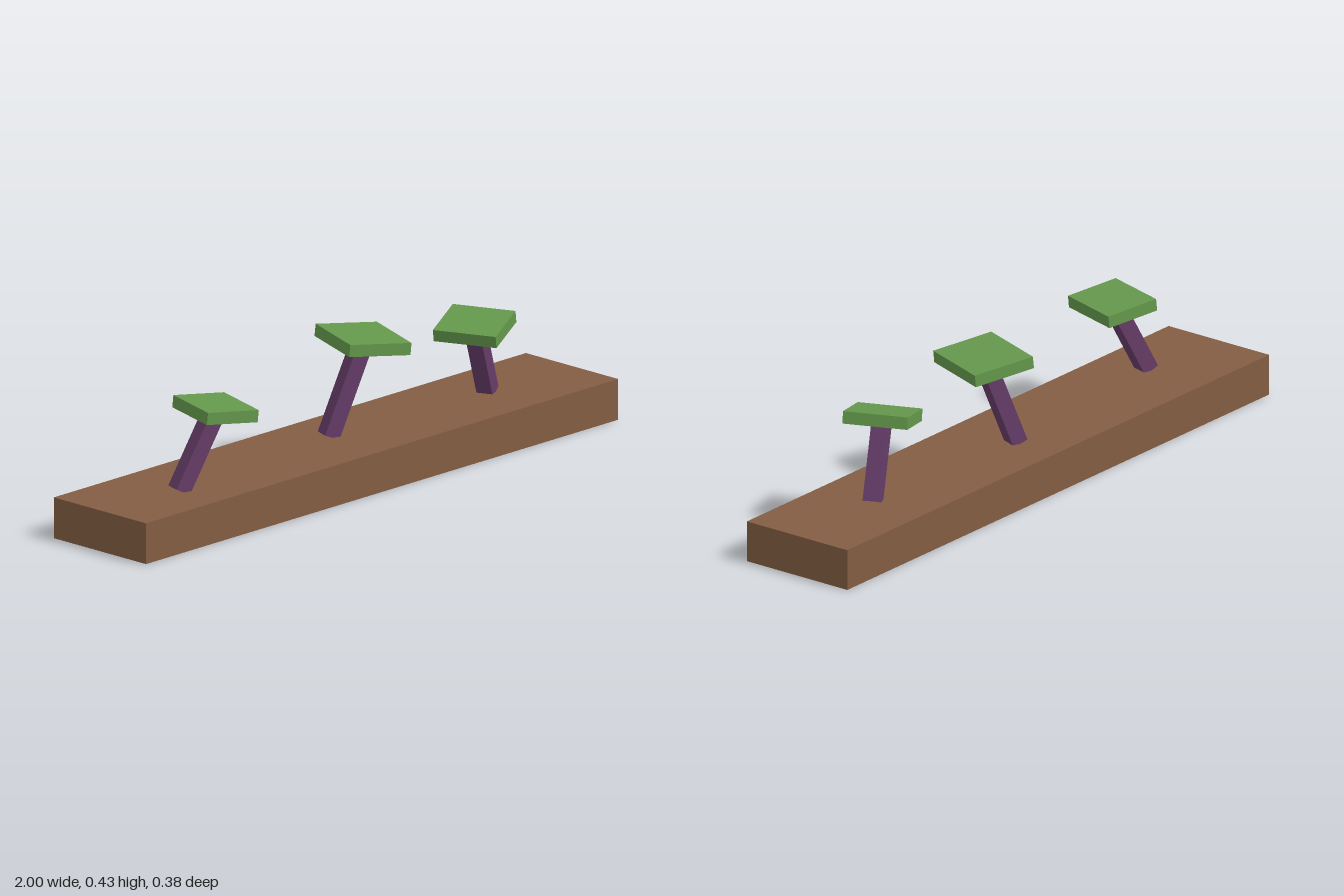
import * as THREE from 'three';

const soil = new THREE.MeshStandardMaterial({ color: 0x825d42, side: THREE.DoubleSide });
soil.name = 'soilBrown';
const bark = new THREE.MeshStandardMaterial({ color: 0x663c68, side: THREE.DoubleSide });
bark.name = 'trunkPurple';
const leaf = new THREE.MeshStandardMaterial({ color: 0x64984c, side: THREE.DoubleSide });
leaf.name = 'leafGreen';

// Box without its bottom face
function openBox(name, w, h, d, material) {
  const geometry = new THREE.BoxGeometry(w, h, d);
  const index = Array.from(geometry.index.array);
  index.splice(18, 6);
  geometry.setIndex(index);
  geometry.clearGroups();
  const mesh = new THREE.Mesh(geometry, material);
  mesh.name = name;
  return mesh;
}

// Leaning square trunk with a tilted slab canopy; reach and rise locate the canopy centre
function makeTree({ name, x, z, yaw, reach, rise, width, depth, tilt }) {
  const tree = new THREE.Group();
  tree.name = name;
  tree.position.set(x, 0.125, z);
  tree.rotation.y = yaw;

  const length = Math.hypot(reach, rise) * 0.93;
  const lean = Math.atan2(reach, rise);
  const trunk = openBox('trunk', 0.05, length, 0.05, bark);
  trunk.position.set(Math.sin(lean) * length / 2, Math.cos(lean) * length / 2, 0);
  trunk.rotation.z = -lean;

  const canopy = openBox('canopy', width, 0.037, depth, leaf);
  canopy.position.set(reach, rise, 0);
  canopy.rotation.z = tilt;

  tree.add(trunk, canopy);
  return tree;
}

export function createModel() {
  const model = new THREE.Group();
  model.name = 'treePlatform';

  // Ground slab, hollow underneath
  const ground = openBox('ground', 2, 0.125, 0.375, soil);
  ground.position.set(0, 0.0625, -0.003);
  model.add(ground);

  const trees = [
    { name: 'rightTree', x: -0.695, z: 0.026, yaw: -0.29, reach: 0.123, rise: 0.232, width: 0.172, depth: 0.206, tilt: -0.1 },
    { name: 'middleTree', x: 0.004, z: -0.037, yaw: -0.36, reach: 0.112, rise: 0.28, width: 0.2, depth: 0.236, tilt: -0.1 },
    { name: 'leftTree', x: 0.649, z: -0.009, yaw: 0.4, reach: -0.108, rise: 0.23, width: 0.167, depth: 0.197, tilt: 0.2 },
  ];
  for (const tree of trees) model.add(makeTree(tree));
  return model;
}
